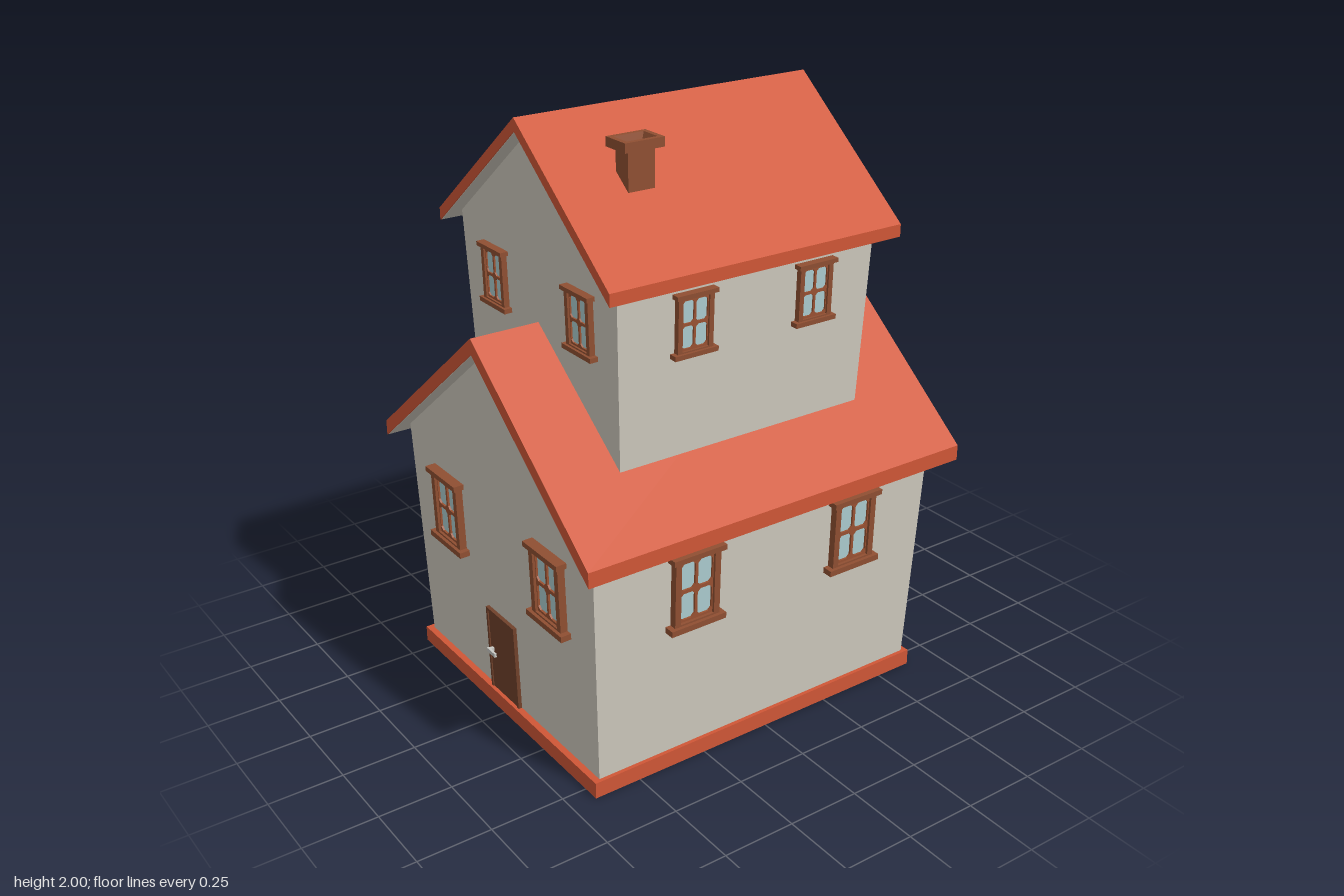
import * as THREE from 'three';

const mat = (name, color) => Object.assign(new THREE.MeshStandardMaterial({ color }), { name });
const M = {
  roof: mat('terracotta', 0xcf5636),
  wall: mat('plaster', 0xcdc8bc),
  frame: mat('frame brown', 0x8f4f32),
  sash: mat('sash brown', 0x9a5232),
  door: mat('door brown', 0x70412b),
  glass: mat('pale glass', 0xaccdd0),
  metal: mat('handle grey', 0xc9c9c5),
};

function add(parent, name, geometry, material, x = 0, y = 0, z = 0) {
  const m = new THREE.Mesh(geometry, material);
  m.name = name;
  m.position.set(x, y, z);
  parent.add(m);
  return m;
}
const box = (w, h, d) => new THREE.BoxGeometry(w, h, d);
const polygon = (pts, Type = THREE.Shape) => new Type(pts.map(p => new THREE.Vector2(...p)));
const extrude = (shape, depth) => new THREE.ExtrudeGeometry(shape, { depth, bevelEnabled: false });
const rect = (w, h) => [[-w / 2, -h / 2], [w / 2, -h / 2], [w / 2, h / 2], [-w / 2, h / 2]];

// Skin over rectangular rings [y, x0, x1, z0, z1], with both ends closed
function loft(rings) {
  const corners = rings.map(([y, x0, x1, z0, z1]) => [[x0, y, z1], [x1, y, z1], [x1, y, z0], [x0, y, z0]]);
  const pos = [];
  const quad = (a, b, c, d) => pos.push(...a, ...b, ...c, ...a, ...c, ...d);
  for (let i = 0; i + 1 < corners.length; i++) {
    for (let k = 0; k < 4; k++) {
      const n = (k + 1) % 4;
      quad(corners[i][k], corners[i][n], corners[i + 1][n], corners[i + 1][k]);
    }
  }
  const [b, t] = [corners[0], corners[corners.length - 1]];
  quad(b[3], b[2], b[1], b[0]);
  quad(t[0], t[1], t[2], t[3]);
  const g = new THREE.BufferGeometry();
  g.setAttribute('position', new THREE.Float32BufferAttribute(pos, 3));
  g.computeVertexNormals();
  return g;
}

// Window: outer frame, sash with four chamfered panes, glass, lintel and sill
function makeWindow() {
  const g = new THREE.Group();
  g.name = 'window';
  const outer = polygon(rect(0.168, 0.245));
  outer.holes.push(polygon(rect(0.125, 0.212), THREE.Path));
  add(g, 'windowFrame', extrude(outer, 0.029), M.frame, 0, 0, -0.004);

  const sash = polygon(rect(0.125, 0.212));
  const w = 0.027, h = 0.046, c = 0.011;
  for (const sx of [-1, 1]) for (const sy of [-1, 1]) {
    const pane = [[-w, -h + c], [-w + c, -h], [w - c, -h], [w, -h + c],
      [w, h - c], [w - c, h], [-w + c, h], [-w, h - c]];
    sash.holes.push(polygon(pane.map(([x, y]) => [x + sx * 0.032, y + sy * 0.052]), THREE.Path));
  }
  add(g, 'windowSash', extrude(sash, 0.012), M.sash, 0, 0, 0.004);
  add(g, 'windowGlass', box(0.125, 0.212, 0.004), M.glass, 0, 0, 0.007);
  add(g, 'windowLintel', box(0.195, 0.018, 0.038), M.frame, 0, 0.122, 0.017);
  add(g, 'windowSill', box(0.205, 0.02, 0.038), M.frame, 0, -0.122, 0.017);
  return g;
}

// Door leaf with a surround and a lever handle, standing on its origin
function makeDoor() {
  const g = new THREE.Group();
  g.name = 'door';
  add(g, 'doorLeaf', box(0.16, 0.3, 0.012), M.door, 0, 0.15, 0.003);
  for (const s of [-1, 1]) add(g, 'doorJamb', box(0.01, 0.305, 0.018), M.door, s * 0.083, 0.1525, 0.004);
  add(g, 'doorHead', box(0.176, 0.01, 0.018), M.door, 0, 0.303, 0.004);
  add(g, 'handleLever', box(0.05, 0.014, 0.008), M.metal, -0.047, 0.155, 0.025);
  add(g, 'handleStem', box(0.012, 0.012, 0.018), M.metal, -0.064, 0.155, 0.014);
  return g;
}

// One storey: flared walls, gable, pitched roof with a pale lining, windows on all sides
function makeStorey(name, s) {
  const g = new THREE.Group();
  g.name = name;
  const [b, t] = [s.bottom, s.top];
  add(g, 'walls', loft([b, t]), M.wall);
  const slope = 0.8;
  const peak = s.ridge - s.thick;
  const gable = polygon([[t[1], t[0]], [t[2], t[0]], [0, peak - 0.002]]);
  add(g, 'gable', extrude(gable, t[4] - t[3]), M.wall, 0, 0, t[3]);

  const chevron = (half, top, thick) => polygon([
    [-half, top - half * slope], [-half, top - thick - half * slope], [0, top - thick],
    [half, top - thick - half * slope], [half, top - half * slope], [0, top]]);
  const len = s.z1 - s.z0;
  add(g, 'roof', extrude(chevron(s.half, s.ridge, s.thick), len), M.roof, 0, 0, s.z0);
  add(g, 'roofLining', extrude(chevron(s.half - 0.004, peak + 0.002, 0.004), len - 0.008), M.wall, 0, 0, s.z0 + 0.004);

  // Place a part on a wall so that it leans with the wall
  const place = (part, side, along, y) => {
    const k = { left: 2, right: 1, front: 4, back: 3 }[side];
    const lean = (t[k] - b[k]) / (t[0] - b[0]);
    const out = b[k] + lean * (y - b[0]);
    const onX = k < 3;
    part.position.set(onX ? out : along, y, onX ? along : out);
    part.rotation.order = 'YXZ';
    part.rotation.y = { front: 0, back: Math.PI, left: Math.PI / 2, right: -Math.PI / 2 }[side];
    part.rotation.x = Math.atan(lean * Math.sign(out));
    g.add(part);
  };
  for (const side of ['front', 'back', 'left', 'right']) {
    const spots = side === 'front' || side === 'back' ? s.spotsX : s.spotsZ;
    for (const along of spots) {
      const win = makeWindow();
      win.scale.setScalar(s.windowScale);
      place(win, side, along, s.windowY);
    }
  }
  if (s.door) place(makeDoor(), 'front', -0.008, b[0]);
  return g;
}

export function createModel() {
  const house = new THREE.Group();
  house.name = 'house';

  add(house, 'baseSlab', loft([[0, -0.55, 0.558, -0.632, 0.665], [0.055, -0.55, 0.558, -0.632, 0.665]]), M.roof);

  house.add(makeStorey('lowerStorey', {
    bottom: [0.055, -0.53, 0.545, -0.611, 0.643],
    top: [0.85, -0.566, 0.566, -0.65, 0.665],
    ridge: 1.355, thick: 0.052, half: 0.632, z0: -0.722, z1: 0.722,
    windowY: 0.632, windowScale: 1, spotsX: [-0.307, 0.32], spotsZ: [0.3, -0.328], door: true,
  }));
  house.add(makeStorey('upperStorey', {
    bottom: [0.99, -0.411, 0.428, -0.441, 0.474],
    top: [1.603, -0.445, 0.445, -0.47, 0.49],
    ridge: 2.0, thick: 0.041, half: 0.492, z0: -0.54, z1: 0.545,
    windowY: 1.437, windowScale: 0.765, spotsX: [-0.238, 0.254], spotsZ: [0.222, -0.233],
  }));

  // Chimney: stack, wider cap and tapering flue
  add(house, 'chimney', loft([
    [1.78, 0.19, 0.254, 0.224, 0.318], [1.92, 0.19, 0.254, 0.224, 0.318],
    [1.92, 0.17, 0.271, 0.2, 0.339], [1.95, 0.17, 0.271, 0.2, 0.339],
    [1.95, 0.186, 0.255, 0.216, 0.323], [1.9, 0.2, 0.243, 0.238, 0.305],
  ]), M.frame);

  return house;
}
